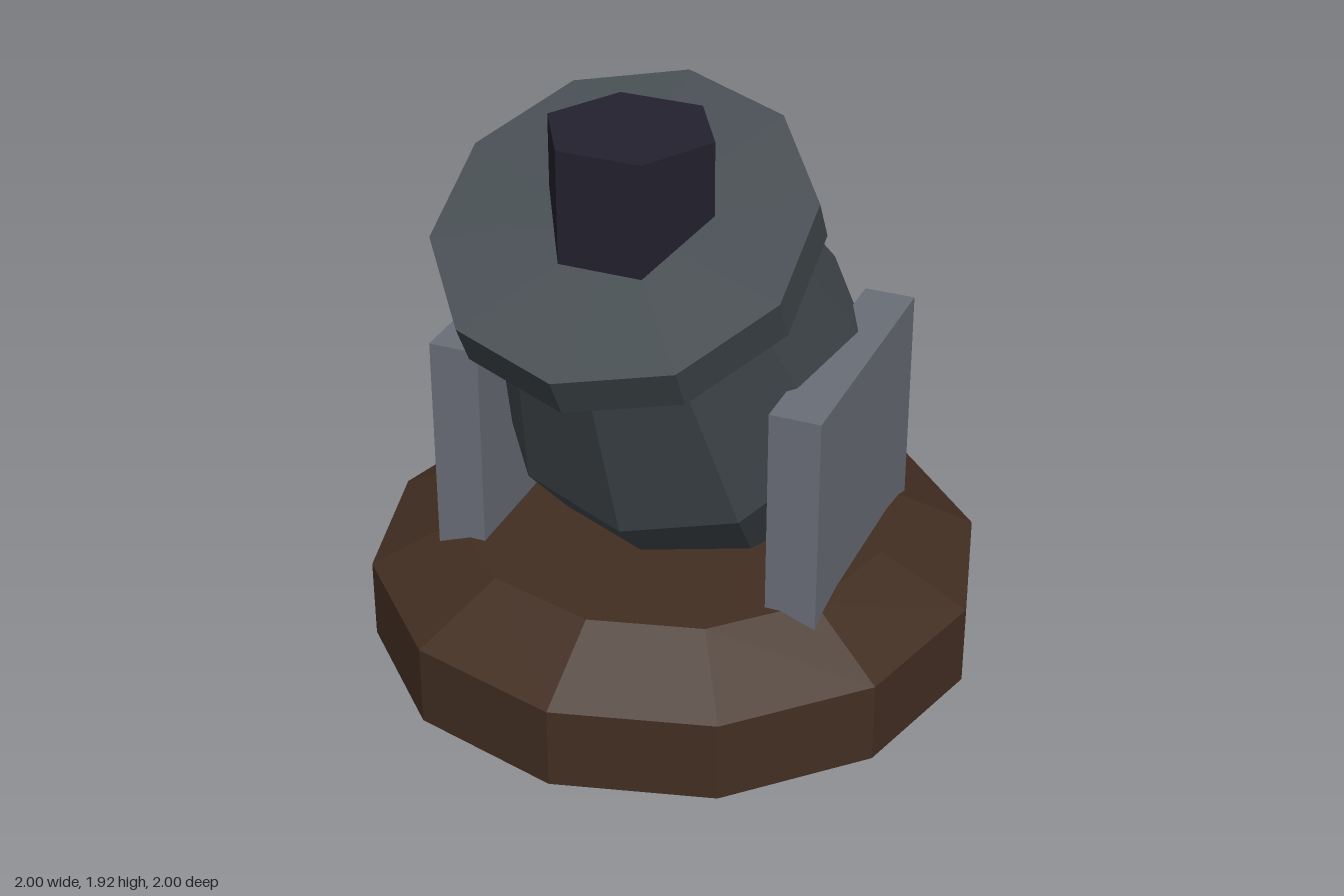
import * as THREE from 'three';

export function createModel() {
  const model = new THREE.Group();
  model.name = 'mortar';

  const material = (name, color) => {
    const m = new THREE.MeshStandardMaterial({ color });
    m.name = name;
    return m;
  };
  const wood = material('dark wood', 0x422e22);
  const iron = material('dark iron', 0x42494e);
  const steel = material('grey steel', 0x6a6e78);
  const black = material('shell black', 0x23212e);

  const add = (parent, name, geometry, mat, x = 0, y = 0, z = 0) => {
    const g = geometry.index ? geometry.toNonIndexed() : geometry;
    g.computeVertexNormals(); // faceted look
    const mesh = new THREE.Mesh(g, mat);
    mesh.name = name;
    mesh.position.set(x, y, z);
    parent.add(mesh);
    return mesh;
  };
  // Faceted solid of revolution from [radius, height] pairs
  const lathe = (profile, sides) =>
    new THREE.LatheGeometry(profile.map(([r, h]) => new THREE.Vector2(r, h)), sides);

  // Twelve-sided base with a sloping shoulder
  add(model, 'base', lathe([[0, 0], [1, 0], [1, 0.27], [0.71, 0.42], [0, 0.42]], 12), wood);

  // Upright cheek plates either side of the barrel
  for (const [side, name] of [[1, 'leftBracket'], [-1, 'rightBracket']]) {
    add(model, name, new THREE.BoxGeometry(0.165, 0.827, 0.874), steel, side * 0.5625, 0.6935, 0);
  }

  // Bulging barrel tilted forward, origin at its widest ring
  const barrel = add(model, 'barrel',
    lathe([[0, -0.477], [0.51, -0.477], [0.61, 0], [0.425, 0.77], [0, 0.77]], 10),
    iron, 0, 0.915, -0.06);
  barrel.rotation.x = 0.57;

  // Muzzle flange
  const flange = add(model, 'muzzleFlange',
    new THREE.CylinderGeometry(0.583, 0.583, 0.152, 10), iron, 0, 1.569, 0.369);
  flange.rotation.x = 0.5;

  // Upright hexagonal shell in the muzzle
  const shell = add(model, 'shell',
    new THREE.CylinderGeometry(0.265, 0.265, 0.485, 6), black, 0, 1.6625, 0.34);
  shell.rotation.y = Math.PI / 2;

  return model;
}
